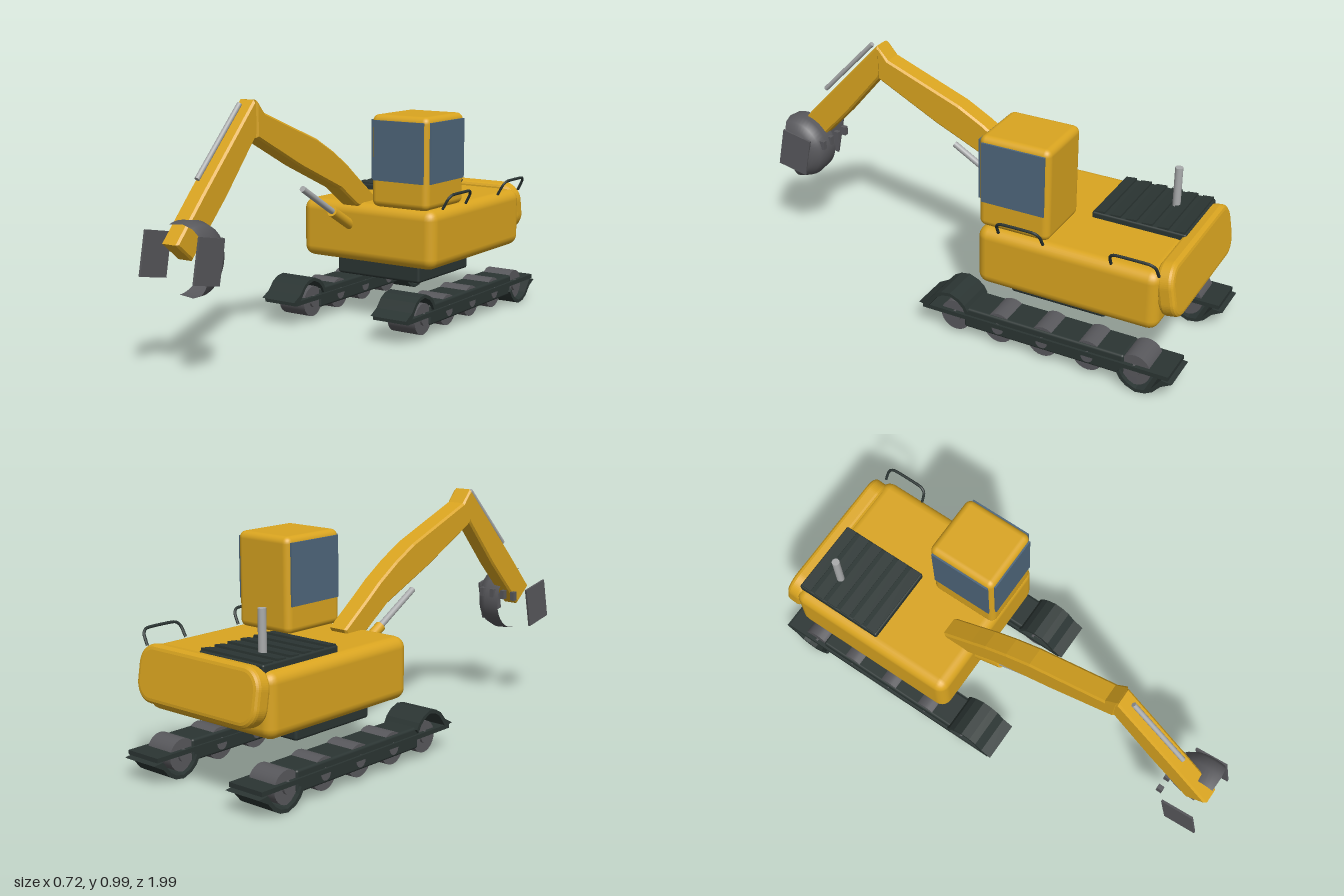
import * as THREE from 'three';
import { RoundedBoxGeometry } from 'three/addons/geometries/RoundedBoxGeometry.js';

const mat = (name, color, side = THREE.FrontSide) => {
  const m = new THREE.MeshStandardMaterial({ color, side });
  m.name = name;
  return m;
};

export function createModel() {
  const root = new THREE.Group();
  root.name = 'excavator';
  const yellow = mat('yellow paint', 0xdaa520);
  const dark = mat('dark steel', 0x2b3533);
  const wheelGrey = mat('roller grey', 0x58585c);
  const bucketGrey = mat('bucket grey', 0x58585c, THREE.DoubleSide);
  const glass = mat('glass', 0x4f677c);
  const silver = mat('polished metal', 0xa9abac);

  const add = (name, geo, material, x = 0, y = 0, z = 0, parent = root) => {
    const m = new THREE.Mesh(geo, material);
    m.name = name;
    m.position.set(x, y, z);
    parent.add(m);
    return m;
  };
  const box = (w, h, d) => new THREE.BoxGeometry(w, h, d);
  const rbox = (w, h, d, r, s = 3) => new RoundedBoxGeometry(w, h, d, s, r);
  // Extrude a [z, y] outline along x, centred on x = 0
  const sideExtrude = (pts, width, bevel = 0) => {
    const shape = new THREE.Shape(pts.map(([z, y]) => new THREE.Vector2(z, y)));
    const g = new THREE.ExtrudeGeometry(shape, {
      depth: width - 2 * bevel, bevelEnabled: bevel > 0, bevelSize: bevel,
      bevelThickness: bevel, bevelOffset: -bevel, bevelSegments: 1,
    });
    g.translate(0, 0, -(width / 2 - bevel));
    return g.rotateY(-Math.PI / 2);
  };
  // Rod between two points
  const rod = (name, a, b, r, material) => {
    const A = new THREE.Vector3(...a), B = new THREE.Vector3(...b);
    const m = add(name, new THREE.CylinderGeometry(r, r, A.distanceTo(B), 16), material);
    m.position.copy(A).add(B).multiplyScalar(0.5);
    m.quaternion.setFromUnitVectors(new THREE.Vector3(0, 1, 0), B.sub(A).normalize());
  };

  // Tracks: frame, rollers, centre belt and curled belt ends
  const curl = [[0.105, 0.115], [0.06, 0.14], [0.03, 0.175], [0, 0.192], [-0.04, 0.198],
    [-0.08, 0.182], [-0.105, 0.16], [-0.12, 0.135]];
  const inner = curl.slice(1).reverse().map(([z, y]) => [z * 0.88 - 0.004, y - 0.014]);
  const endCurl = [...curl, ...inner, [0.06, 0.11]];
  const midZ = -0.443, midY = 0.1;
  for (const s of [1, -1]) {
    const track = new THREE.Group();
    track.name = s > 0 ? 'leftTrack' : 'rightTrack';
    track.position.x = s * 0.275;
    root.add(track);
    add('trackFrame', rbox(0.145, 0.088, 0.69, 0.01), dark, 0, 0.098, midZ, track);
    add('centreBelt', box(0.165, 0.018, 1.06), dark, 0, 0.105, midZ, track);
    for (let i = 0; i < 5; i++) {
      const z = -0.055 - i * 0.194;
      add('roller', new THREE.CylinderGeometry(0.065, 0.065, 0.13, 24).rotateZ(Math.PI / 2),
        wheelGrey, 0, 0.09, z, track);
      add('rollerHub', new THREE.CylinderGeometry(0.025, 0.025, 0.15, 16).rotateZ(Math.PI / 2),
        wheelGrey, 0, 0.09, z, track);
    }
    add('frontBeltCurl', sideExtrude(endCurl, 0.168), dark, 0, 0, 0, track);
    const rear = endCurl.map(([z, y]) => [2 * midZ - z, 2 * midY - y]);
    add('rearBeltCurl', sideExtrude(rear, 0.168), dark, 0, 0.003, 0, track);
  }

  // Undercarriage and main body
  add('turntable', rbox(0.415, 0.08, 0.41, 0.012), dark, 0, 0.224, -0.44);
  add('body', rbox(0.66, 0.25, 0.76, 0.045), yellow, 0, 0.39, -0.52);

  // Counterweight: rounded slab leaning at the rear
  const w = 0.295, h = 0.09, r = 0.06;
  const cw = new THREE.Shape();
  cw.moveTo(-w + r, -h);
  cw.absarc(w - r, -h + r, r, -Math.PI / 2, 0, false);
  cw.absarc(w - r, h - r, r, 0, Math.PI / 2, false);
  cw.absarc(-w + r, h - r, r, Math.PI / 2, Math.PI, false);
  cw.absarc(-w + r, -h + r, r, Math.PI, Math.PI * 1.5, false);
  const cwGeo = new THREE.ExtrudeGeometry(cw, {
    depth: 0.035, bevelEnabled: true, bevelSize: 0.022, bevelThickness: 0.018,
    bevelSegments: 3, curveSegments: 8,
  }).translate(0, 0, -0.0175);
  add('counterweight', cwGeo, yellow, -0.005, 0.425, -0.921).rotation.x = 0.17;

  // Engine cover with louvres, and exhaust
  add('engineCover', rbox(0.33, 0.035, 0.39, 0.008), dark, -0.125, 0.522, -0.695);
  for (let i = 0; i < 6; i++)
    add('louvre', box(0.32, 0.01, 0.045), dark, -0.125, 0.541, -0.86 + i * 0.066).rotation.x = 0.1;
  add('exhaust', new THREE.CylinderGeometry(0.016, 0.016, 0.18, 16), silver, -0.167, 0.616, -0.77);

  // Cab with windows on the front and both sides
  add('cab', rbox(0.275, 0.385, 0.3, 0.028), yellow, 0.165, 0.703, -0.287);
  add('frontWindow', box(0.24, 0.25, 0.008), glass, 0.165, 0.748, -0.135);
  for (const x of [0.025, 0.306])
    add('sideWindow', box(0.008, 0.25, 0.265), glass, x, 0.748, -0.287);

  // Handrails leaning outward on the left side
  for (const [z0, z1] of [[-0.235, -0.425], [-0.705, -0.895]]) {
    const pts = [[0, z0], [0.7, z0 - 0.004], [1, z0 - 0.03], [1, z1 + 0.03], [0.7, z1 + 0.004], [0, z1]]
      .map(([t, z]) => new THREE.Vector3(0.318 + 0.032 * t, 0.512 + 0.06 * t, z));
    const path = new THREE.CatmullRomCurve3(pts, false, 'catmullrom', 0.3);
    add('handrail', new THREE.TubeGeometry(path, 40, 0.006, 8), dark);
  }

  // Boom and stick
  const boom = [[0.525, 0.998], [0.475, 0.945], [0.14, 0.815], [0.03, 0.755], [-0.07, 0.69],
    [-0.14, 0.635], [-0.28, 0.53], [-0.24, 0.46], [-0.14, 0.51], [-0.02, 0.595], [0.25, 0.715], [0.525, 0.855]];
  add('boom', sideExtrude([...boom].reverse(), 0.088, 0.008), yellow, -0.083);
  const stick = [[0.53, 0.998], [0.47, 0.935], [0.53, 0.85], [0.7, 0.65], [0.895, 0.445], [0.98, 0.515], [0.83, 0.68]];
  add('stick', sideExtrude(stick, 0.078, 0.008), yellow, -0.085);

  // Hydraulic cylinders
  rod('stickCylinder', [-0.085, 0.985, 0.575], [-0.085, 0.73, 0.822], 0.01, silver);
  rod('boomRod', [-0.085, 0.615, 0.185], [-0.085, 0.49, -0.03], 0.013, silver);
  rod('boomBarrel', [-0.085, 0.495, -0.02], [-0.085, 0.41, -0.17], 0.022, yellow);

  // Bucket: half-turn curved shell, side plates and pegs
  const bowl = [[0.136, -0.085], [0.142, -0.02], [0.128, 0.02], [0.1, 0.04], [0.07, 0.048]]
    .map(([rad, x]) => new THREE.Vector2(rad, x));
  const shell = new THREE.LatheGeometry(bowl, 28, Math.PI / 2, 3.49).rotateZ(-Math.PI / 2);
  add('bucketShell', shell, bucketGrey, 0, 0.46, 0.928);
  for (const x of [-0.211, 0.045])
    add('bucketSidePlate', box(0.009, 0.172, 0.14), bucketGrey, x, 0.457, 0.915).rotation.x = -0.2;
  for (let i = 0; i < 4; i++)
    add('bucketPeg', box(0.02, 0.038, 0.024), wheelGrey, -0.167 + i * 0.055, 0.5, 0.797);

  return root;
}
